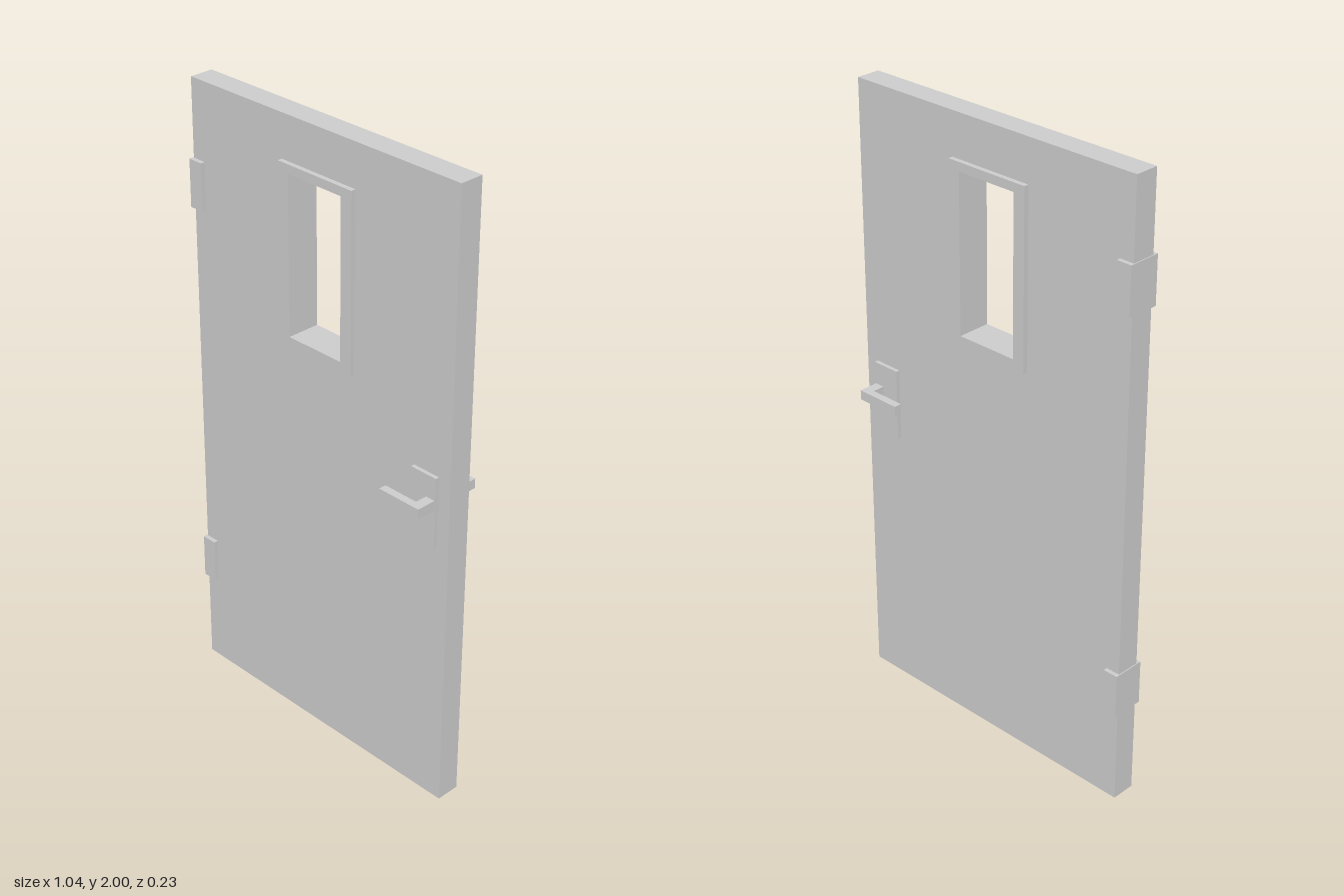
import * as THREE from 'three';

const material = new THREE.MeshStandardMaterial({ color: 0xcccccc, flatShading: true });

// Box given by its limits on each axis
function box(name, [x0, x1], [y0, y1], [z0, z1]) {
  const mesh = new THREE.Mesh(new THREE.BoxGeometry(x1 - x0, y1 - y0, z1 - z0), material);
  mesh.position.set((x0 + x1) / 2, (y0 + y1) / 2, (z0 + z1) / 2);
  mesh.name = name;
  return mesh;
}

function trace(path, [x0, x1], [y0, y1]) {
  path.moveTo(x0, y0);
  path.lineTo(x1, y0);
  path.lineTo(x1, y1);
  path.lineTo(x0, y1);
  path.closePath();
  return path;
}

// Rectangular panel with the window opening cut through it
function panelWithWindow(name, xs, ys, [z0, z1]) {
  const shape = trace(new THREE.Shape(), xs, ys);
  shape.holes.push(trace(new THREE.Path(), [-0.103, 0.103], [1.336, 1.837]));
  const geometry = new THREE.ExtrudeGeometry(shape, { depth: z1 - z0, bevelEnabled: false });
  geometry.translate(0, 0, z0);
  const mesh = new THREE.Mesh(geometry, material);
  mesh.name = name;
  return mesh;
}

// Handle for one face: side = 1 front, -1 back; midZ is the door's middle
function handle(side, midZ) {
  const group = new THREE.Group();
  group.name = side > 0 ? 'frontHandle' : 'backHandle';
  const zs = (a, b) => [midZ + side * a, midZ + side * b].sort((p, q) => p - q);
  group.add(
    box('handlePlate', [0.381, 0.475], [0.89, 1.118], zs(0.0385, 0.051)),
    box('handleStem', [0.44, 0.472], [1.012, 1.046], zs(0.051, 0.091)),
    box('handleLever', [0.322, 0.472], [1.015, 1.046], zs(0.09, 0.115))
  );
  return group;
}

export function createModel() {
  const model = new THREE.Group();
  model.name = 'door';
  const midZ = 0.001;

  // Door leaf
  model.add(panelWithWindow('doorLeaf', [-0.516, 0.518], [0, 2], [midZ - 0.0385, midZ + 0.0385]));

  // Raised window frames on both faces
  for (const side of [1, -1]) {
    const z = [midZ + side * 0.0385, midZ + side * 0.054].sort((a, b) => a - b);
    model.add(panelWithWindow(side > 0 ? 'frontWindowFrame' : 'backWindowFrame',
      [-0.143, 0.143], [1.303, 1.865], z));
    model.add(handle(side, midZ));
  }

  // Hinges wrapping the edge of the leaf
  model.add(box('upperHinge', [-0.519, -0.469], [1.604, 1.755], [midZ - 0.052, midZ + 0.053]));
  model.add(box('lowerHinge', [-0.519, -0.469], [0.31, 0.455], [midZ - 0.052, midZ + 0.053]));
  return model;
}
